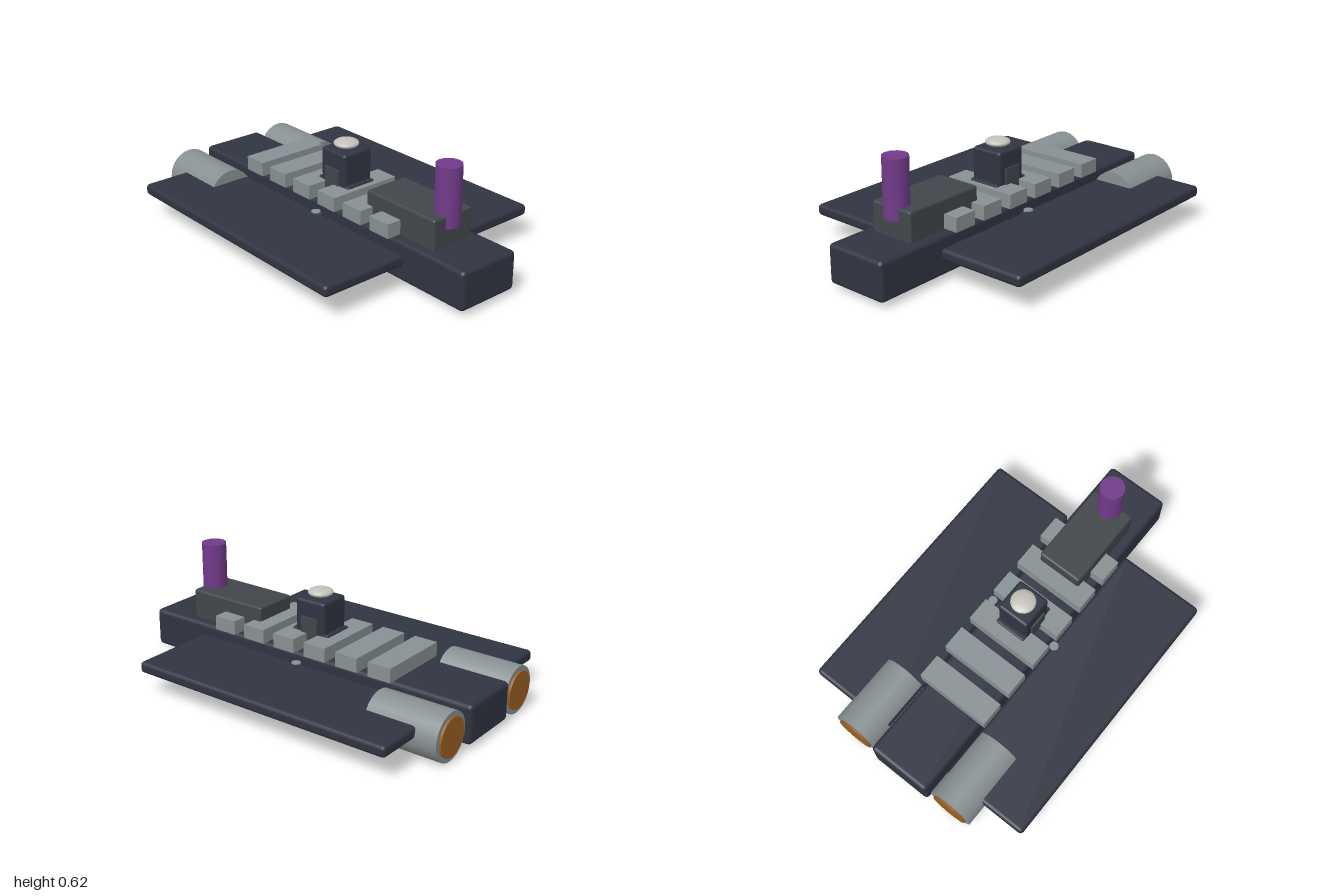
import * as THREE from 'three';
import { RoundedBoxGeometry } from 'three/addons/geometries/RoundedBoxGeometry.js';

const paint = (color) => new THREE.MeshStandardMaterial({ color });
const NAVY = paint(0x303441), CHARCOAL = paint(0x41464a), STEEL = paint(0x879092);
const PURPLE = paint(0x713a8a), AMBER = paint(0x9a5f22), PALE = paint(0xc4c1ba);

export function createModel() {
  const model = new THREE.Group();
  model.name = 'lowCraft';

  const add = (name, geometry, material, x, y, z) => {
    const mesh = new THREE.Mesh(geometry, material);
    mesh.name = name;
    mesh.position.set(x, y, z);
    model.add(mesh);
    return mesh;
  };
  // Box given by its lower and upper corners, with an optional rounded edge
  const block = (name, material, [x0, y0, z0], [x1, y1, z1], radius = 0) => {
    const size = [x1 - x0, y1 - y0, z1 - z0];
    const geometry = radius
      ? new RoundedBoxGeometry(...size, 2, radius)
      : new THREE.BoxGeometry(...size);
    return add(name, geometry, material, (x0 + x1) / 2, (y0 + y1) / 2, (z0 + z1) / 2);
  };

  // Central hull
  block('hull', NAVY, [-1, 0.03, -0.175], [1, 0.235, 0.175], 0.022);

  // Wings, engines and hinge pins on both sides
  for (const side of [-1, 1]) {
    const wing = block('wing', NAVY, [-0.86, 0.13, -0.24], [0.635, 0.19, 0.24], 0.02);
    wing.position.z = side * 0.43;

    const engine = add('engine', new THREE.CylinderGeometry(0.125, 0.125, 0.39, 24), STEEL, -0.78, 0.13, side * 0.31);
    engine.rotation.z = Math.PI / 2;
    const nozzle = add('engineNozzle', new THREE.CylinderGeometry(0.1, 0.1, 0.02, 24), AMBER, -0.976, 0.13, side * 0.31);
    nozzle.rotation.z = Math.PI / 2;

    add('hingePin', new THREE.CylinderGeometry(0.024, 0.024, 0.06, 16), STEEL, 0, 0.165, side * 0.203);
  }
  block('hingeBar', NAVY, [-0.03, 0.115, -0.227], [0.03, 0.18, 0.227]);

  // Cross ribs along the deck
  for (let i = 0; i < 6; i++) {
    const x = -0.505 + i * 0.195;
    block('deckRib', STEEL, [x - 0.065, 0.24, -0.205], [x + 0.065, 0.315, 0.205]);
  }

  // Raised housing with upright post
  block('housing', CHARCOAL, [0.295, 0.225, -0.125], [0.76, 0.39, 0.125], 0.012);
  add('post', new THREE.CylinderGeometry(0.065, 0.065, 0.305, 20), PURPLE, 0.72, 0.4775, 0);

  // Turret with foot, side panels and flattened dome
  block('turretFoot', NAVY, [-0.113, 0.225, -0.088], [0.113, 0.325, 0.088], 0.008);
  block('turret', NAVY, [-0.09, 0.225, -0.09], [0.09, 0.49, 0.09], 0.015);
  block('turretPanel', CHARCOAL, [-0.05, 0.28, -0.1], [0.05, 0.4, 0.1]);
  const dome = add('turretDome', new THREE.SphereGeometry(0.065, 24, 16), PALE, 0, 0.512, 0);
  dome.scale.y = 0.35;

  return model;
}
